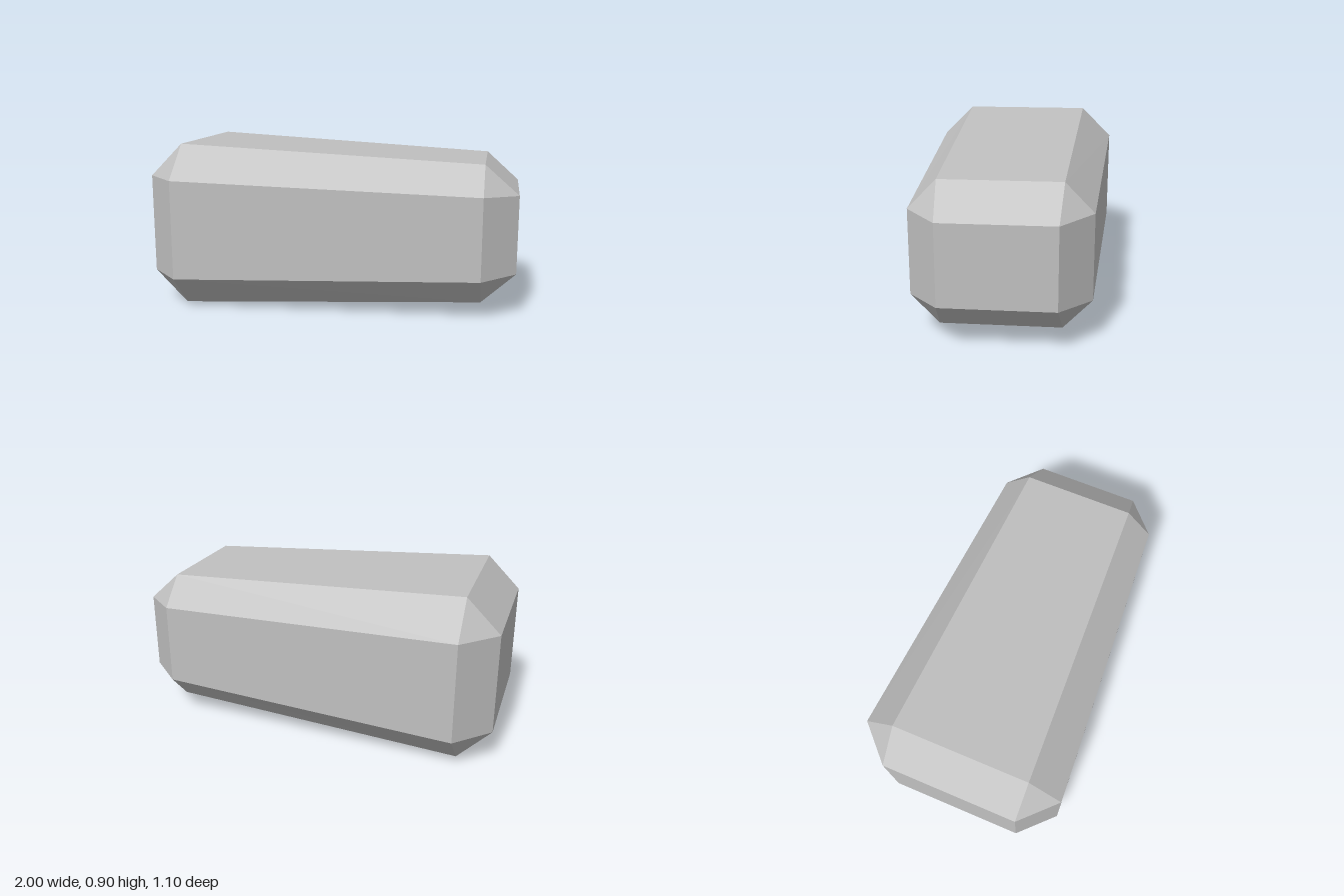
import * as THREE from 'three';

const MID_Y = 0.45;

// Cross-sections along x: half height, half depth, and the shorter
// half height and half depth where the corner chamfers begin.
const SECTIONS = [
  { x: -1.0, h: 0.27, d: 0.37, ch: 0.27, cd: 0.37 },
  { x: -0.82, h: 0.45, d: 0.55, ch: 0.27, cd: 0.37 },
  { x: 0.82, h: 0.37, d: 0.45, ch: 0.22, cd: 0.305 },
  { x: 1.0, h: 0.21, d: 0.288, ch: 0.21, cd: 0.288 },
];

// Eight corners of a chamfered rectangle, counter-clockwise seen from +x
function ring({ x, h, d, ch, cd }) {
  return [
    [h, cd], [ch, d], [-ch, d], [-h, cd],
    [-h, -cd], [-ch, -d], [ch, -d], [h, -cd],
  ].map(([y, z]) => new THREE.Vector3(x, MID_Y + y, z));
}

function chamferedBlock(sections) {
  const rings = sections.map(ring);
  const points = [];
  const triangle = (a, b, c) => {
    // Skip triangles collapsed where a chamfer runs to a corner
    if (!a.equals(b) && !b.equals(c) && !c.equals(a)) points.push(a, b, c);
  };
  const quad = (a, b, c, d) => {
    triangle(a, b, c);
    triangle(a, c, d);
  };

  // Sides and bevels
  for (let i = 0; i < rings.length - 1; i++) {
    const p = rings[i], q = rings[i + 1];
    for (let j = 0; j < 8; j++) {
      const k = (j + 1) % 8;
      quad(p[j], p[k], q[k], q[j]);
    }
  }

  // Rectangular end faces
  const first = rings[0], last = rings[rings.length - 1];
  quad(first[6], first[4], first[2], first[0]);
  quad(last[0], last[2], last[4], last[6]);

  const geometry = new THREE.BufferGeometry().setFromPoints(points);
  geometry.computeVertexNormals();
  return geometry;
}

export function createModel() {
  const stone = new THREE.MeshStandardMaterial({ color: 0xc0c0c0 });
  stone.name = 'stone grey';
  stone.flatShading = true;

  const block = new THREE.Mesh(chamferedBlock(SECTIONS), stone);
  block.name = 'taperedBlock';

  const model = new THREE.Group();
  model.name = 'chamferedStone';
  model.add(block);
  return model;
}
